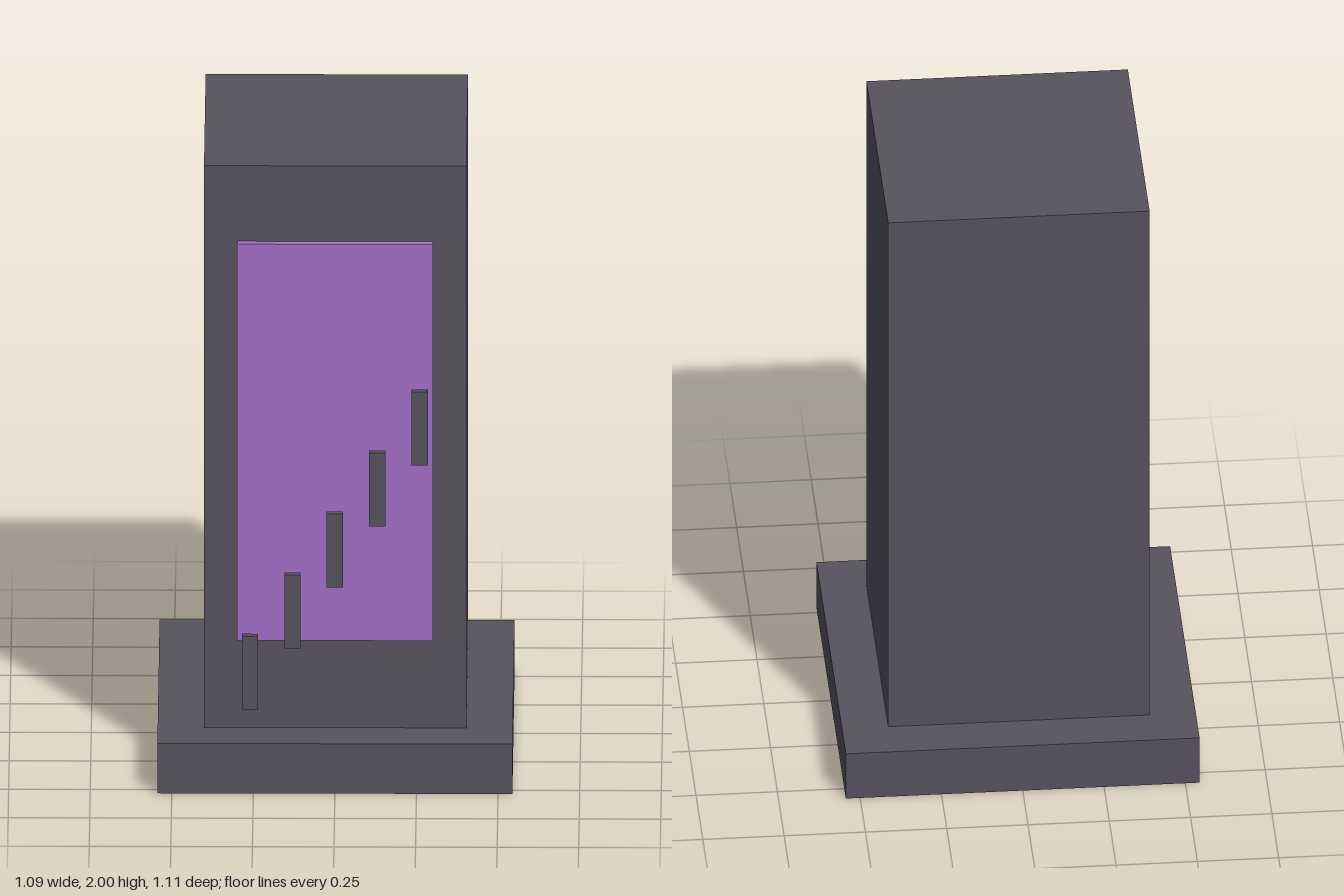
import * as THREE from 'three';

export function createModel() {
  const model = new THREE.Group();
  const stone = new THREE.MeshStandardMaterial({ color: 0x57525f });
  stone.name = 'dark stone';
  const violet = new THREE.MeshStandardMaterial({ color: 0xa370c9 });
  violet.name = 'violet';

  const addBox = (name, material, size, position) => {
    const mesh = new THREE.Mesh(new THREE.BoxGeometry(...size), material);
    mesh.name = name;
    mesh.position.set(...position);
    model.add(mesh);
  };

  // Square plinth and the tall pillar standing on it
  addBox('plinth', stone, [1.088, 0.163, 1.088], [0, 0.0815, -0.012]);
  addBox('pillar', stone, [0.804, 1.837, 0.804], [0, 1.0815, -0.012]);

  // Raised panel on the front face
  addBox('frontPanel', violet, [0.6, 1.296, 0.026], [0, 1.105, 0.403]);

  // Five bars floating before the panel, rising toward the model's left
  for (let i = -2; i <= 2; i++) {
    addBox(`bar${i + 3}`, stone, [0.05, 0.24, 0.022], [i * 0.13, 0.803 + i * 0.2, 0.545]);
  }

  return model;
}
